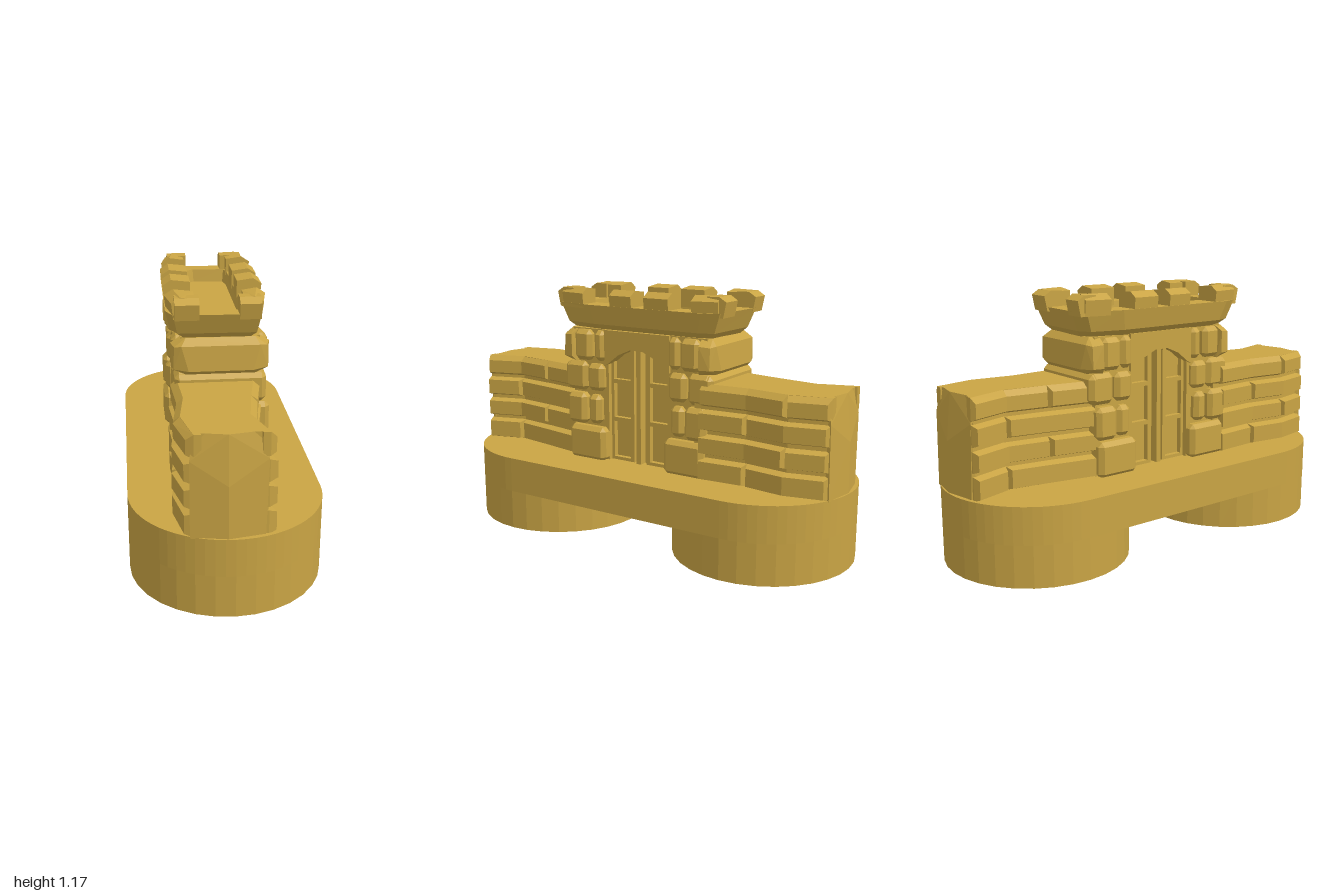
import * as THREE from 'three';
import { ConvexGeometry } from 'three/addons/geometries/ConvexGeometry.js';

const brass = new THREE.MeshStandardMaterial({ color: 0xc9a444, flatShading: true });
brass.name = 'brass';

function add(group, geometry, name) {
  const mesh = new THREE.Mesh(geometry, brass);
  mesh.name = name;
  group.add(mesh);
  return mesh;
}

const hull = (points) => new ConvexGeometry(points.map((p) => new THREE.Vector3(...p)));

// Linear interpolation through [z, x] pairs sorted by z
function along(table, z) {
  for (let i = 1; i < table.length; i++) {
    const [z0, x0] = table[i - 1], [z1, x1] = table[i];
    if (z <= z1 || i === table.length - 1) return x0 + ((x1 - x0) * (z - z0)) / (z1 - z0);
  }
}

// Chamfered block between two corners
function stone(x0, x1, y0, y1, z0, z1, b = 0.02) {
  const pts = [];
  for (const i of [0, 1]) for (const j of [0, 1]) for (const k of [0, 1]) {
    const x = i ? x1 : x0, y = j ? y1 : y0, z = k ? z1 : z0;
    const dx = i ? -b : b, dy = j ? -b : b, dz = k ? -b : b;
    pts.push([x, y + dy, z + dz], [x + dx, y, z + dz], [x + dx, y + dy, z]);
  }
  return hull(pts);
}

function box(x0, x1, y0, y1, z0, z1) {
  return new THREE.BoxGeometry(x1 - x0, y1 - y0, z1 - z0)
    .translate((x0 + x1) / 2, (y0 + y1) / 2, (z0 + z1) / 2);
}

function makeBase() {
  const base = new THREE.Group();
  base.name = 'base';
  const s = new THREE.Shape();
  s.absarc(0, 0.58, 0.42, 0, Math.PI);
  s.absarc(0, -0.58, 0.42, Math.PI, Math.PI * 2);
  s.closePath();
  const slab = new THREE.ExtrudeGeometry(s, { depth: 0.167, bevelEnabled: false, curveSegments: 16 });
  add(base, slab.rotateX(-Math.PI / 2).translate(0, 0.188, 0), 'baseSlab');
  for (const z of [-0.58, 0.58]) {
    add(base, new THREE.CylinderGeometry(0.42, 0.42, 0.19, 32).translate(0, 0.095, z), 'roundFoot');
  }
  return base;
}

// Curved wall with overlapping courses of brick
const wallRight = [[0.36, 0.15], [0.57, 0.11], [0.77, 0.075], [0.95, 0.13]];
const wallLeft = [[0.36, -0.19], [0.57, -0.175], [0.8, -0.205], [0.95, -0.165]];

function makeWall() {
  const wall = new THREE.Group();
  wall.name = 'wall';
  const cuts = [0.32, 0.57, 0.78, 0.95];
  for (let i = 0; i < 3; i++) {
    const pts = [];
    for (const z of [cuts[i], cuts[i + 1]]) for (const y of [0.35, 0.79]) {
      pts.push([along(wallLeft, z), y, z], [along(wallRight, z), y, z]);
    }
    add(wall, hull(pts), 'wallCore');
  }
  add(wall, hull([
    [-0.165, 0.35, 0.94], [0.13, 0.35, 0.94], [-0.18, 0.35, 0.965], [0.12, 0.35, 0.965], [-0.03, 0.35, 0.993],
    [-0.18, 0.68, 0.96], [0.13, 0.68, 0.96], [-0.03, 0.58, 0.99],
    [-0.165, 0.79, 0.94], [0.125, 0.79, 0.94], [-0.03, 0.79, 0.968],
  ]), 'wallEnd');

  const courses = [[0.35, 0.455], [0.47, 0.563], [0.58, 0.675], [0.69, 0.79]];
  for (const [side, table] of [[1, wallRight], [-1, wallLeft]]) {
    courses.forEach(([y0, y1], c) => {
      const joints = [0.36, 0.58, 0.775, 0.96];
      const split = (c + (side < 0 ? 1 : 0)) % 2 ? 1 : 2;
      for (let i = 0; i < 3; i++) {
        const pts = [];
        [joints[i], joints[i + 1]].forEach((z, k) => {
          const open = i + k === split || i + k === 3;
          const zo = z + (open ? (k ? -0.012 : 0.012) : 0);
          const x = along(table, z), out = along(table, zo) + side * (c === 3 ? 0.028 : 0.036);
          pts.push([x - side * 0.03, y0, z], [x - side * 0.03, y1, z], [x, y0, z], [x, y1, z]);
          pts.push([out, y0 + 0.012, zo], [out, y1 - (c === 3 ? 0.025 : 0.012), zo]);
        });
        add(wall, hull(pts), 'wallBrick');
      }
    });
  }
  return wall;
}

// One broad face of the gatehouse: piers, arch and double door
function makeGateFace() {
  const face = new THREE.Group();
  face.name = 'gateFace';
  const rows = [
    [0.35, 0.515, 0.165, 0.375, 0.22], [0.525, 0.675, 0.275, 0.385, 0.22], [0.53, 0.67, 0.195, 0.268, 0.21],
    [0.685, 0.825, 0.28, 0.4, 0.2], [0.69, 0.82, 0.18, 0.275, 0.205],
    [0.835, 0.98, 0.245, 0.345, 0.21], [0.835, 0.98, 0.175, 0.238, 0.2],
  ];
  for (const m of [1, -1]) {
    add(face, box(0, 0.172, 0.35, 0.985, m > 0 ? 0.165 : -0.37, m > 0 ? 0.37 : -0.165), 'pier');
    for (const [y0, y1, z0, z1, x] of rows) {
      add(face, stone(0.1, x, y0, y1, m > 0 ? z0 : -z1, m > 0 ? z1 : -z0), 'pierStone');
    }
    // Door leaf frame
    const zs = (a, b) => (m > 0 ? [a, b] : [-b, -a]);
    add(face, box(0.1, 0.15, 0.35, 0.9, ...zs(0.035, 0.055)), 'doorStile');
    add(face, box(0.1, 0.15, 0.35, 0.86, ...zs(0.15, 0.17)), 'doorStile');
    for (const y of [0.35, 0.545, 0.73]) {
      add(face, box(0.1, 0.15, y, y + 0.02, ...zs(0.035, 0.17)), 'doorRail');
    }
  }
  add(face, box(0.1, 0.165, 0.35, 0.905, -0.012, 0.012), 'doorPost');

  const arch = new THREE.Shape();
  [[-0.18, 0.985], [-0.18, 0.815], [-0.16, 0.825], [-0.1, 0.872], [-0.035, 0.9], [0.035, 0.9],
    [0.1, 0.872], [0.16, 0.825], [0.18, 0.815], [0.18, 0.985]]
    .forEach(([z, y], i) => (i ? arch.lineTo(z, y) : arch.moveTo(z, y)));
  const archGeo = new THREE.ExtrudeGeometry(arch, { depth: 0.185, bevelEnabled: false });
  add(face, archGeo.rotateY(Math.PI / 2), 'arch');

  // Stones across the narrow end
  add(face, hull([-1, 1].flatMap((s) => [
    [s * 0.19, 0.825, 0.34], [s * 0.165, 0.985, 0.34], [s * 0.215, 0.85, 0.35], [s * 0.215, 0.955, 0.35],
    [s * 0.205, 0.85, 0.4], [s * 0.2, 0.95, 0.4], [s * 0.14, 0.845, 0.425], [s * 0.17, 0.955, 0.415],
    [s * 0.15, 0.825, 0.4], [s * 0.15, 0.985, 0.385],
  ])), 'endStone');
  add(face, stone(-0.2, 0.2, 0.69, 0.822, 0.3, 0.41), 'endStone');
  return face;
}

// Flared battlement
const crownSide = [[-0.45, 0.175], [-0.37, 0.208], [0.25, 0.203], [0.45, 0.165]];
const sideX = (s, z) => s * along(crownSide, s * z) - (s < 0 ? 0.02 : 0);

function makeCrown() {
  const crown = new THREE.Group();
  crown.name = 'crown';
  const outline = [[0.165, 0.445], [0.203, 0.25], [0.208, -0.36], [0.185, -0.44], [-0.12, -0.455],
    [-0.185, -0.42], [-0.223, -0.25], [-0.23, 0.36], [-0.2, 0.435]];
  const levels = [[0, 0, 0.983], [0.78, 0.86, 0.983], [0.93, 0.92, 1.01], [1.02, 1, 1.1],
    [0.5, 0.83, 1.1], [0.47, 0.81, 1.04], [0, 0, 1.04]];
  const n = outline.length, pos = [], idx = [];
  levels.forEach(([sx, sz, y], i) => outline.forEach(([x, z], j) => {
    pos.push(x * sx, y, z * sz);
    if (i === levels.length - 1) return;
    const a = i * n + j, b = i * n + ((j + 1) % n);
    idx.push(a, b, b + n, a, b + n, a + n);
  }));
  const geo = new THREE.BufferGeometry();
  geo.setAttribute('position', new THREE.Float32BufferAttribute(pos, 3));
  geo.setIndex(idx);
  const flat = geo.toNonIndexed();
  flat.computeVertexNormals();
  add(crown, flat, 'parapet');

  // Merlons along both long sides, with corner returns
  for (const s of [1, -1]) {
    for (const [z0, z1] of [[0.29, 0.43], [0.01, 0.13], [-0.19, -0.06], [-0.43, -0.31]]) {
      const pts = [];
      for (const z of [z0, z1]) {
        const x = sideX(s, z), inner = s * 0.105 - 0.005;
        pts.push([x, 1.08, z], [x + s * 0.008, 1.15, z], [x - s * 0.03, 1.175, z], [inner, 1.165, z], [inner, 1.08, z]);
      }
      add(crown, hull(pts), 'merlon');
    }
    for (const e of [1, -1]) {
      const xo = sideX(s, e * 0.44), xi = s * 0.085 - 0.01;
      const pts = [];
      for (const x of [xo, xi]) {
        pts.push([x, 1.08, e * 0.37], [x, 1.17, e * 0.37], [x, 1.172, e * 0.43], [x, 1.15, e * 0.465], [x, 1.08, e * 0.45]);
      }
      add(crown, hull(pts), 'cornerMerlon');
    }
  }
  return crown;
}

export function createModel() {
  const model = new THREE.Group();
  model.name = 'gatehousePiece';
  model.add(makeBase());

  const gatehouse = new THREE.Group();
  gatehouse.name = 'gatehouse';
  add(gatehouse, box(-0.125, 0.125, 0.35, 0.985, -0.36, 0.36), 'gatehouseCore');
  gatehouse.add(makeCrown());
  model.add(gatehouse);

  // Each half repeats turned half way round
  for (const turn of [0, Math.PI]) {
    const half = new THREE.Group();
    half.name = turn ? 'rearHalf' : 'frontHalf';
    half.add(makeWall(), makeGateFace());
    half.rotation.y = turn;
    model.add(half);
  }
  return model;
}
